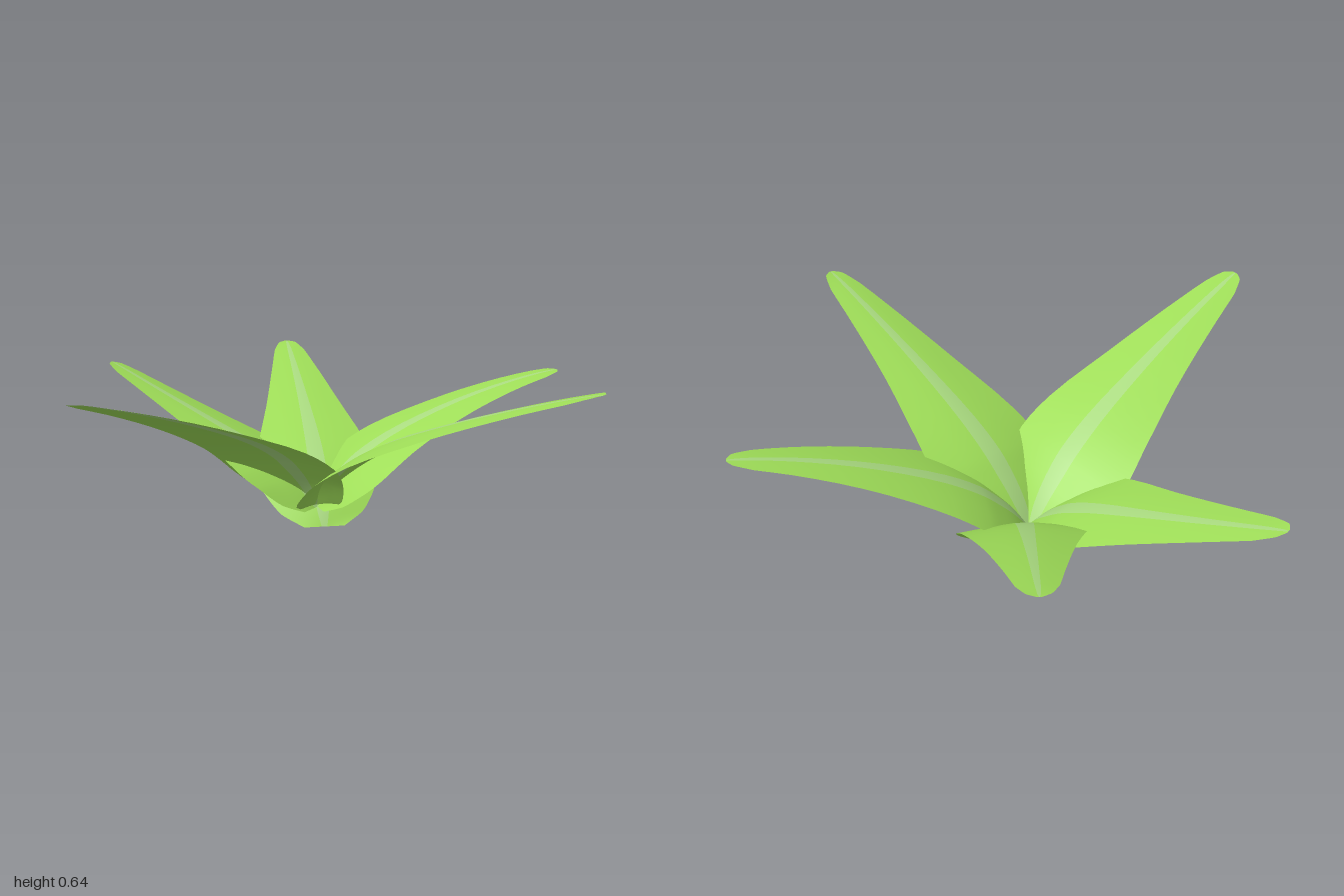
import * as THREE from 'three';

// Leaf sections from root to tip: [distance out, height, half width, edge droop]
const SECTIONS = [
  [0, -0.005, 0.075, 0], [0.03, 0.045, 0.15, 0.02], [0.07, 0.097, 0.19, 0.03],
  [0.12, 0.147, 0.218, 0.034], [0.18, 0.198, 0.228, 0.034], [0.31, 0.272, 0.207, 0.026],
  [0.55, 0.372, 0.15, 0.018], [0.8, 0.463, 0.1, 0.01], [1.0, 0.53, 0.062, 0.005],
  [1.07, 0.55, 0.035, 0], [1.09, 0.555, 0.008, 0],
];
const ACROSS = [-1, -0.78, -0.5, -0.14, 0.14, 0.5, 0.78, 1];
const ROWS = 30;

// Each leaf: root and tip position, width scale, sideways roll, extra arch along the midrib
const LEAVES = [
  { name: 'frontLeaf', root: [-0.1, 0.085, -0.11], tip: [0.1, 0.64, 0.975], width: 1, roll: 0.14, arch: 0.01 },
  { name: 'leftLeaf', root: [-0.09, 0.085, -0.11], tip: [1, 0.64, -0.2], width: 1, roll: 0.08, arch: 0.005 },
  { name: 'backLeaf', root: [-0.09, 0.08, -0.11], tip: [0.26, 0.495, -0.98], width: 0.95, roll: 0, arch: 0.035 },
  { name: 'backRightLeaf', root: [-0.06, 0.01, -0.12], tip: [-0.83, 0.5, -0.625], width: 0.95, roll: 0, arch: 0.01 },
  { name: 'rightLeaf', root: [-0.08, 0.08, -0.1], tip: [-1, 0.485, 0.11], width: 0.95, roll: 0.14, arch: -0.02 },
];

// Bent blade lofted along its midrib; group 0 is blade, group 1 the pale midrib
function leafGeometry({ root, tip, width, roll, arch }) {
  const spine = new THREE.CatmullRomCurve3(SECTIONS.map(([u, h]) => new THREE.Vector3(u, h, 0)));
  const form = new THREE.CatmullRomCurve3(SECTIONS.map(([, , w, d], i) => new THREE.Vector3(w, d, i * 0.1)));
  const dx = tip[0] - root[0], dz = tip[2] - root[2];
  const reach = Math.hypot(dx, dz);
  const ax = dx / reach, az = dz / reach;
  const scaleU = reach / 1.09, scaleH = (tip[1] - root[1]) / 0.555;
  const positions = [], blade = [], midrib = [];
  const n = ACROSS.length;
  for (let i = 0; i <= ROWS; i++) {
    const t = i / ROWS;
    const p = spine.getPoint(t), tangent = spine.getTangent(t), f = form.getPoint(t);
    const along = p.x / 1.09;
    const rise = arch * 4 * along * (1 - along);
    for (const s of ACROSS) {
      const drop = f.y * Math.pow(Math.abs(s), 1.3);
      const u = (p.x + drop * tangent.y) * scaleU;
      const v = s * f.x * width;
      const h = (p.y - drop * tangent.x) * scaleH + rise + roll * v * Math.min(1, t * 4);
      positions.push(root[0] + ax * u + az * v, Math.max(0, root[1] + h), root[2] + az * u - ax * v);
    }
  }
  for (let i = 0; i < ROWS; i++) {
    for (let j = 0; j < n - 1; j++) {
      const a = i * n + j, b = a + 1, c = a + n, d = c + 1;
      (j === 3 ? midrib : blade).push(a, b, c, b, d, c);
    }
  }
  const geometry = new THREE.BufferGeometry();
  geometry.setAttribute('position', new THREE.Float32BufferAttribute(positions, 3));
  geometry.setIndex([...blade, ...midrib]);
  geometry.addGroup(0, blade.length, 0);
  geometry.addGroup(blade.length, midrib.length, 1);
  geometry.computeVertexNormals();
  return geometry;
}

export function createModel() {
  const bladeGreen = new THREE.MeshStandardMaterial({ color: 0x9fde58, side: THREE.DoubleSide });
  bladeGreen.name = 'leafGreen';
  const midribGreen = new THREE.MeshStandardMaterial({ color: 0xaadb80, side: THREE.DoubleSide });
  midribGreen.name = 'paleMidribGreen';

  const plant = new THREE.Group();
  plant.name = 'leafRosette';
  for (const leaf of LEAVES) {
    const mesh = new THREE.Mesh(leafGeometry(leaf), [bladeGreen, midribGreen]);
    mesh.name = leaf.name;
    plant.add(mesh);
  }
  return plant;
}
